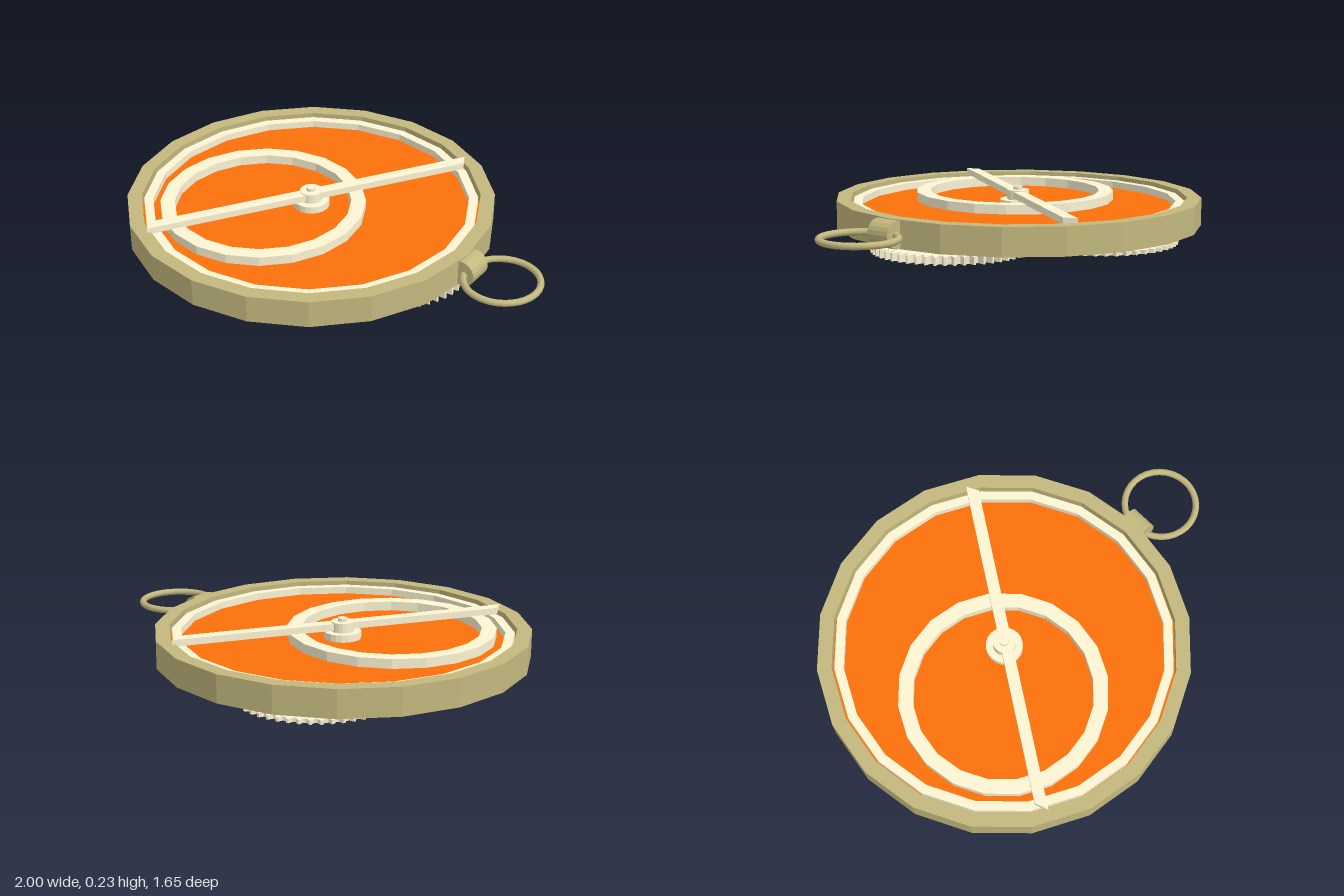
import * as THREE from 'three';

const CX = -0.176; // centre of the case
const BRASS = 0xc3b87e;
const mat = (color) => new THREE.MeshStandardMaterial({ color, flatShading: true });

export function createModel() {
  const model = new THREE.Group();
  const brass = mat(BRASS), cream = mat(0xfcf4d3), orange = mat(0xfc700a);
  const smoothBrass = new THREE.MeshStandardMaterial({ color: BRASS });

  const add = (name, geometry, material, x = 0, y = 0, z = 0, parent = model) => {
    const mesh = new THREE.Mesh(geometry, material);
    mesh.name = name;
    mesh.position.set(x, y, z);
    parent.add(mesh);
  };
  const lathe = (points, sides = 20) =>
    new THREE.LatheGeometry(points.map((p) => new THREE.Vector2(...p)), sides);
  const ring = (ri, ro, y0, y1) => lathe([[ri, y0], [ro, y0], [ro, y1], [ri, y1], [ri, y0]]);
  const disc = (r, y0, y1, sides = 20) => lathe([[0, y0], [r, y0], [r, y1], [0, y1]], sides);
  // Extrude a plan outline upwards
  const slab = (shape, height) =>
    new THREE.ExtrudeGeometry(shape, { depth: height, bevelEnabled: false, curveSegments: 16 })
      .rotateX(-Math.PI / 2);

  // Toothed wheel with an optional round opening
  const gear = (r, depth, teeth, height, hole = 0) => {
    const pts = [];
    for (let i = 0; i < teeth; i++) {
      for (const [t, rad] of [[0, r - depth], [0.3, r - depth], [0.55, r], [0.75, r]]) {
        const a = ((i + t) / teeth) * Math.PI * 2;
        pts.push(new THREE.Vector2(Math.cos(a) * rad, Math.sin(a) * rad));
      }
    }
    const shape = new THREE.Shape(pts);
    if (hole) shape.holes.push(new THREE.Path().absarc(0, 0, hole, 0, Math.PI * 2, true));
    return slab(shape, height);
  };

  // Case: a shallow tray with a thick rim
  add('case', lathe([[0, 0.063], [0.825, 0.063], [0.825, 0.187], [0.761, 0.187], [0.761, 0.13], [0, 0.13]]), brass, CX);
  add('dial', disc(0.76, 0.125, 0.138), orange, CX);
  add('outerDialRing', ring(0.71, 0.751, 0.138, 0.17), cream, CX);
  add('innerDialRing', ring(0.395, 0.46, 0.138, 0.18), cream, -0.33, 0, 0.153);

  // Hub and double-ended hand
  const hub = new THREE.Group();
  hub.name = 'hub';
  hub.position.x = CX;
  model.add(hub);
  add('hubFlange', disc(0.082, 0.138, 0.17), cream, 0, 0, 0, hub);
  add('hubPost', disc(0.05, 0.165, 0.213), cream, 0, 0, 0, hub);
  add('hubPin', disc(0.021, 0.21, 0.228, 12), cream, 0, 0, 0, hub);
  const handOutline = [[0.222, 0.658], [-0.585, -0.605], [-0.563, -0.666], [0.25, 0.604]];
  add('hand', slab(new THREE.Shape(handOutline.map((p) => new THREE.Vector2(...p))), 0.03), cream, 0, 0.178);

  // Crown barrel and hanging loop
  add('crown', new THREE.CylinderGeometry(0.06, 0.06, 0.116, 20).rotateX(Math.PI / 2), brass, 0.656, 0.125);
  add('loop', new THREE.TorusGeometry(0.163, 0.015, 10, 32).rotateX(Math.PI / 2), smoothBrass, 0.82, 0.125);

  // Gear train under the case
  const train = new THREE.Group();
  train.name = 'gearTrain';
  model.add(train);
  add('axle', disc(0.06, 0.03, 0.07), cream, CX, 0, 0, train);
  add('pinion', gear(0.148, 0.025, 20, 0.027), cream, CX, 0.033, 0, train);
  add('ringGear', gear(0.347, 0.034, 52, 0.035, 0.238), cream, 0.275, 0, 0, train);
  add('rearGear', gear(0.352, 0.02, 48, 0.018), cream, -0.312, 0, -0.36, train);
  add('sideGear', gear(0.311, 0.022, 40, 0.034), cream, -0.607, 0.02, 0, train);

  return model;
}
